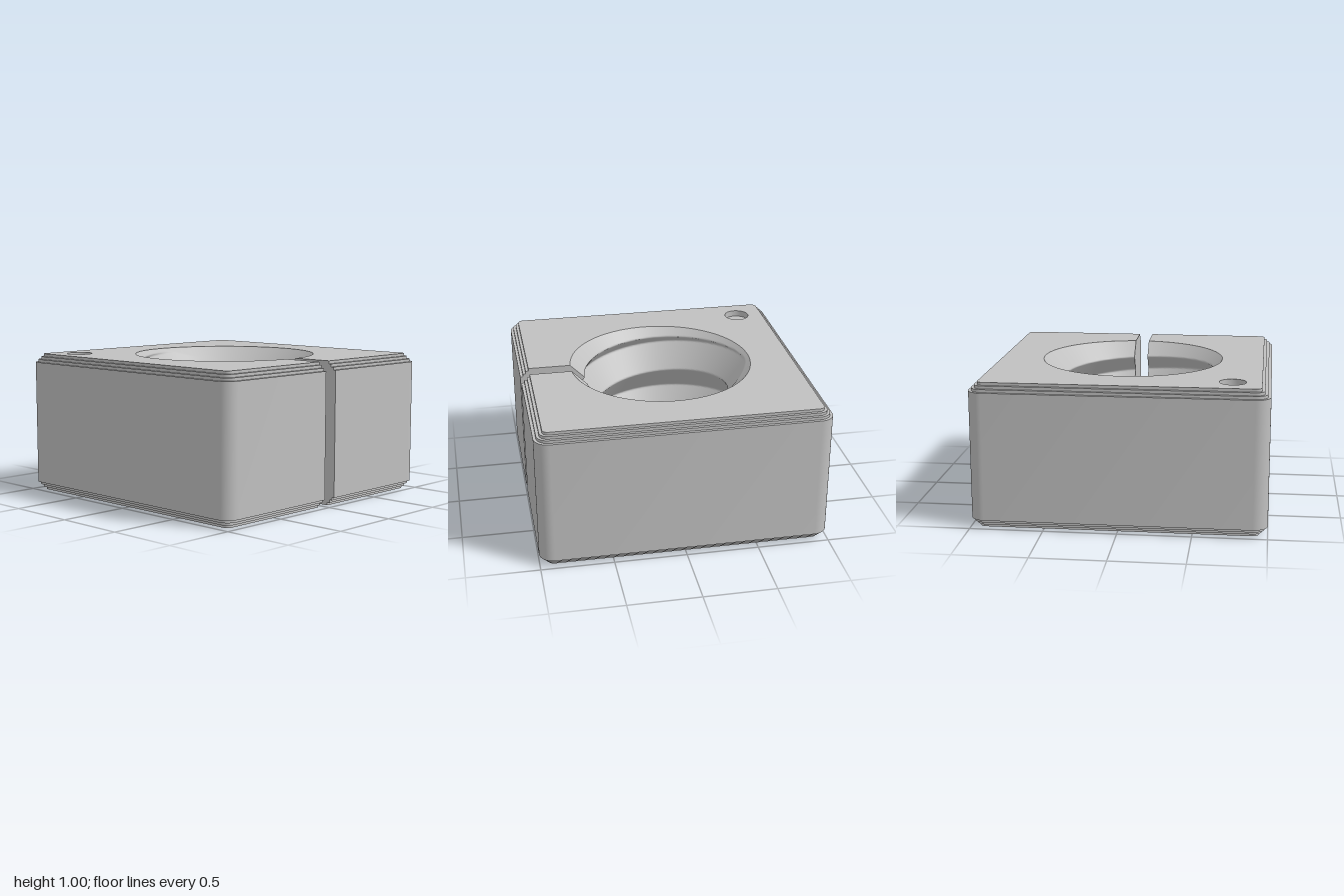
import * as THREE from 'three';
import { toCreasedNormals } from 'three/addons/utils/BufferGeometryUtils.js';

const TAU = Math.PI * 2;
const SLOT = 0.05;            // half width of the slot
const PITCH = 0.37;           // thread pitch
const RIM = 0.645;            // chamfer radius at the faces
const ROWS = 160, COLS = 128;

// Bore radius at an angle from the front (toward +x) and a height:
// a V thread, opened by a 45 degree chamfer at both ends.
function boreRadius(phi, y) {
  const t = (y - 0.785) / PITCH + phi / TAU;
  const thread = 0.62 - 0.135 * 2 * Math.abs(t - Math.round(t));
  return Math.max(thread, RIM - Math.min(y, 1 - y));
}

// Angle at which the bore meets the slot wall on side +1 or -1
function slotAngle(side, y) {
  let a = 0.09;
  for (let i = 0; i < 4; i++) a = Math.asin(SLOT / boreRadius(side > 0 ? a : TAU - a, y));
  return side > 0 ? a : TAU - a;
}

function borePoint(u, y) {
  const a = slotAngle(1, y), b = slotAngle(-1, y);
  const phi = a + (b - a) * u, r = boreRadius(phi, y);
  return [r * Math.sin(phi), y, r * Math.cos(phi)];
}

// Rounded square from one lip of the slot round to the other, as [x, z]
function outline(inset) {
  const pts = [[SLOT, 1 - inset]], r = 0.1 - inset;
  const corners = [[0.9, 0.9], [0.9, -0.9], [-0.9, -0.9], [-0.9, 0.9]];
  corners.forEach(([cx, cz], k) => {
    for (let i = 0; i <= 10; i++) {
      const phi = (k + i / 10) * Math.PI / 2;
      pts.push([cx + r * Math.sin(phi), cz + r * Math.cos(phi)]);
    }
  });
  pts.push([-SLOT, 1 - inset]);
  return pts;
}

// Joins rows of points into a surface; flip turns it to face the axis
function loft(rows, flip) {
  const n = rows[0].length, index = [];
  for (let j = 0; j < rows.length - 1; j++) {
    for (let i = 0; i < n - 1; i++) {
      const a = j * n + i, b = a + 1, c = b + n, d = a + n;
      if (flip) index.push(a, c, b, a, d, c);
      else index.push(a, b, c, a, c, d);
    }
  }
  const geo = new THREE.BufferGeometry();
  geo.setAttribute('position', new THREE.Float32BufferAttribute(rows.flat(2), 3));
  geo.setIndex(index);
  geo.computeVertexNormals();
  return geo;
}

export function createModel() {
  const group = new THREE.Group();
  const grey = new THREE.MeshStandardMaterial({ color: 0xc0c0c0 });
  grey.name = 'plain grey';
  const add = (name, geo) => {
    const mesh = new THREE.Mesh(geo, grey);
    mesh.name = name;
    group.add(mesh);
    return mesh;
  };

  // Stepped edge profile as [inset, y], bottom to top
  const lower = [[0.06, 0], [0.06, 0.02], [0.04, 0.02], [0.04, 0.04], [0.02, 0.04], [0.02, 0.06], [0, 0.06]];
  const profile = [...lower, ...lower.map(([s, y]) => [s, 1 - y]).reverse()];

  // Outer sides with stepped edges
  const sides = loft(profile.map(([s, y]) => outline(s).map(([x, z]) => [x, y, z])), false);
  add('outerSides', toCreasedNormals(sides, 0.6));

  // Threaded and chamfered bore
  const rows = [];
  for (let j = 0; j <= ROWS; j++) {
    const row = [];
    for (let i = 0; i <= COLS; i++) row.push(borePoint(i / COLS, j / ROWS));
    rows.push(row);
  }
  add('threadedBore', loft(rows, true));

  // Top and bottom faces, cut by bore and slot
  const face = (y, sign) => {
    const pts = outline(0.06);
    for (let i = COLS; i >= 0; i--) {
      const p = borePoint(i / COLS, y);
      pts.push([p[0], p[2]]);
    }
    return new THREE.Shape(pts.map(([x, z]) => new THREE.Vector2(x, sign * z)));
  };
  const topShape = face(1, -1);
  topShape.holes.push(new THREE.Path().absarc(-0.745, 0.745, 0.09, 0, TAU, true));
  add('topFace', new THREE.ShapeGeometry(topShape, 24).rotateX(-Math.PI / 2)).position.y = 1;
  add('bottomFace', new THREE.ShapeGeometry(face(0, 1)).rotateX(Math.PI / 2));

  // Shallow round pit in the back corner
  const pitProfile = [[0.09, 1], [0.09, 0.955], [0, 0.955]].map(p => new THREE.Vector2(...p));
  const pit = add('cornerPit', toCreasedNormals(new THREE.LatheGeometry(pitProfile, 48), 0.6));
  pit.position.set(-0.745, 0, -0.745);

  // Slot walls: stepped edge outside, thread profile inside
  for (const side of [1, -1]) {
    const pts = profile.map(([s, y]) => new THREE.Vector2(side * (1 - s), y));
    for (let j = ROWS; j >= 0; j--) {
      const z = borePoint(side > 0 ? 0 : 1, j / ROWS)[2];
      pts.push(new THREE.Vector2(side * z, j / ROWS));
    }
    const wall = new THREE.ShapeGeometry(new THREE.Shape(pts)).rotateY(-side * Math.PI / 2);
    add(side > 0 ? 'leftSlotWall' : 'rightSlotWall', wall).position.x = side * SLOT;
  }
  return group;
}
